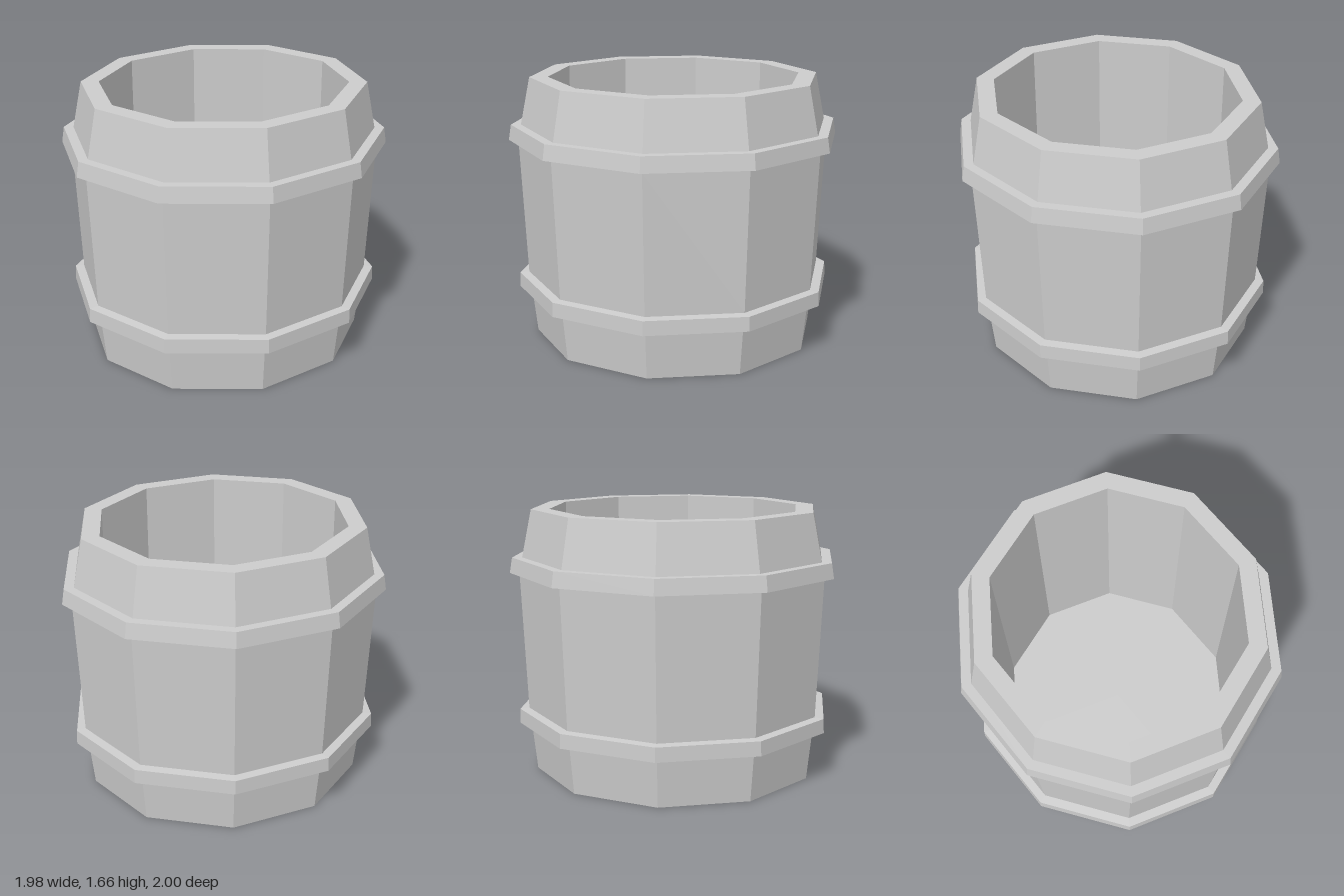
import * as THREE from 'three';

const SIDES = 10;
const X_STRETCH = 1.042; // the barrel is slightly wider than a regular decagon

const barrelGrey = new THREE.MeshStandardMaterial({ color: 0xcccccc });
barrelGrey.name = 'barrelGrey';

// Faceted ring of ten sides, from a profile of [radius, height] pairs
function facetedLathe(name, profile) {
  const points = profile.map(([r, y]) => new THREE.Vector2(r, y));
  const geometry = new THREE.LatheGeometry(points, SIDES).toNonIndexed();
  geometry.scale(X_STRETCH, 1, 1);
  geometry.computeVertexNormals();
  const mesh = new THREE.Mesh(geometry, barrelGrey);
  mesh.name = name;
  return mesh;
}

export function createModel() {
  const barrel = new THREE.Group();
  barrel.name = 'openBarrel';

  // Staved body: base, bulging wall, tapered shoulder, flat rim, hollow inside
  barrel.add(facetedLathe('body', [
    [0, 0], [0.866, 0], [0.897, 0.31], [0.909, 0.405], [0.943, 1.265],
    [0.925, 1.37], [0.866, 1.665], [0.757, 1.665], [0.757, 0.11], [0, 0.11],
  ]));

  // Hoops, closed against the wall
  barrel.add(facetedLathe('lowerHoop', [
    [0.88, 0.31], [0.968, 0.31], [0.964, 0.4], [0.909, 0.405], [0.88, 0.405],
  ]));
  barrel.add(facetedLathe('upperHoop', [
    [0.9, 1.265], [0.943, 1.265], [1, 1.275], [0.985, 1.37], [0.9, 1.37],
  ]));

  return barrel;
}
